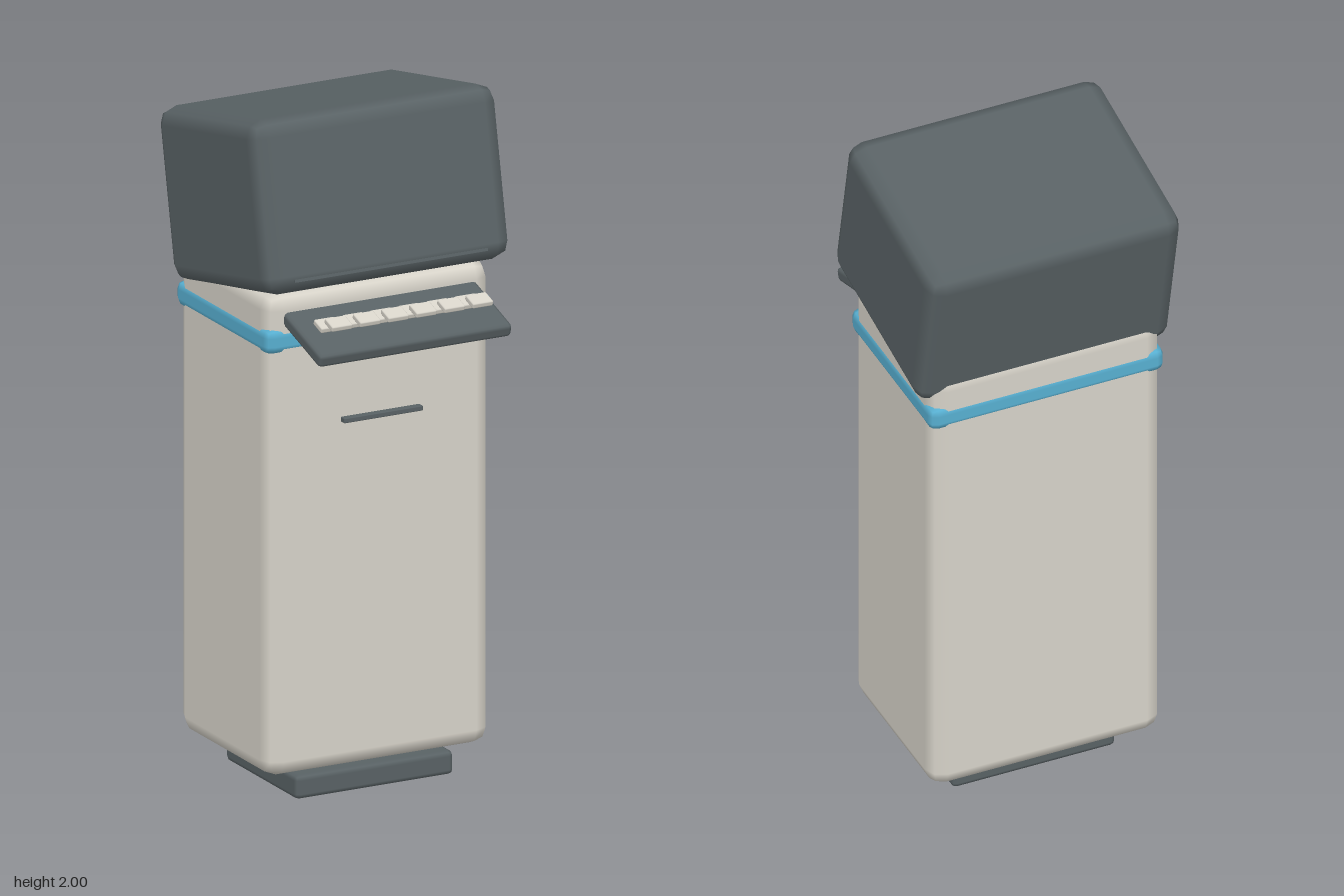
import * as THREE from 'three';
import { RoundedBoxGeometry } from 'three/addons/geometries/RoundedBoxGeometry.js';

const material = (name, color) => {
  const m = new THREE.MeshStandardMaterial({ color });
  m.name = name;
  return m;
};

export function createModel() {
  const model = new THREE.Group();
  model.name = 'kiosk';
  const cream = material('cream shell', 0xd8d4ca);
  const slate = material('slate grey', 0x596265);
  const blue = material('blue trim', 0x58b0d2);

  // Softly bevelled box: size, radius, centre, tilt about x
  const block = (name, mat, [w, h, d], radius, [x, y, z], tilt = 0) => {
    const mesh = new THREE.Mesh(new RoundedBoxGeometry(w, h, d, 1, radius), mat);
    mesh.name = name;
    mesh.position.set(x, y, z);
    mesh.rotation.x = tilt;
    model.add(mesh);
    return mesh;
  };

  // Pedestal, cabinet and trim band
  block('foot', slate, [0.5, 0.07, 0.42], 0.015, [0, 0.035, -0.04]);
  block('body', cream, [0.71, 1.42, 0.54], 0.05, [0, 0.79, -0.07]);
  block('trimBand', blue, [0.72, 0.075, 0.548], 0.025, [0, 1.362, -0.07]);

  // Head leaning back, with a fine seam low on its face
  const head = block('head', slate, [0.78, 0.495, 0.605], 0.05, [0, 1.705, -0.0725], -0.2);
  const seam = new THREE.Mesh(new THREE.BoxGeometry(0.61, 0.008, 0.008), slate);
  seam.name = 'headSeam';
  seam.position.set(0, -0.212, 0.298);
  head.add(seam);

  // Sloping key shelf
  const slope = 0.3;
  block('keyShelf', slate, [0.61, 0.04, 0.24], 0.012, [0, 1.395, 0.295], slope);

  // Two rows of six keys
  const rows = [[1.45, 0.367], [1.428, 0.303]];
  rows.forEach(([y, z], row) => {
    for (let i = 0; i < 6; i++) {
      block(`key${row + 1}_${i + 1}`, cream, [0.065, 0.016, 0.05], 0.004, [(i - 2.5) * 0.089, y, z], slope);
    }
  });

  // Narrow slot lip on the front
  block('slotLip', slate, [0.25, 0.015, 0.03], 0.003, [0, 1.107, 0.205]);

  return model;
}
